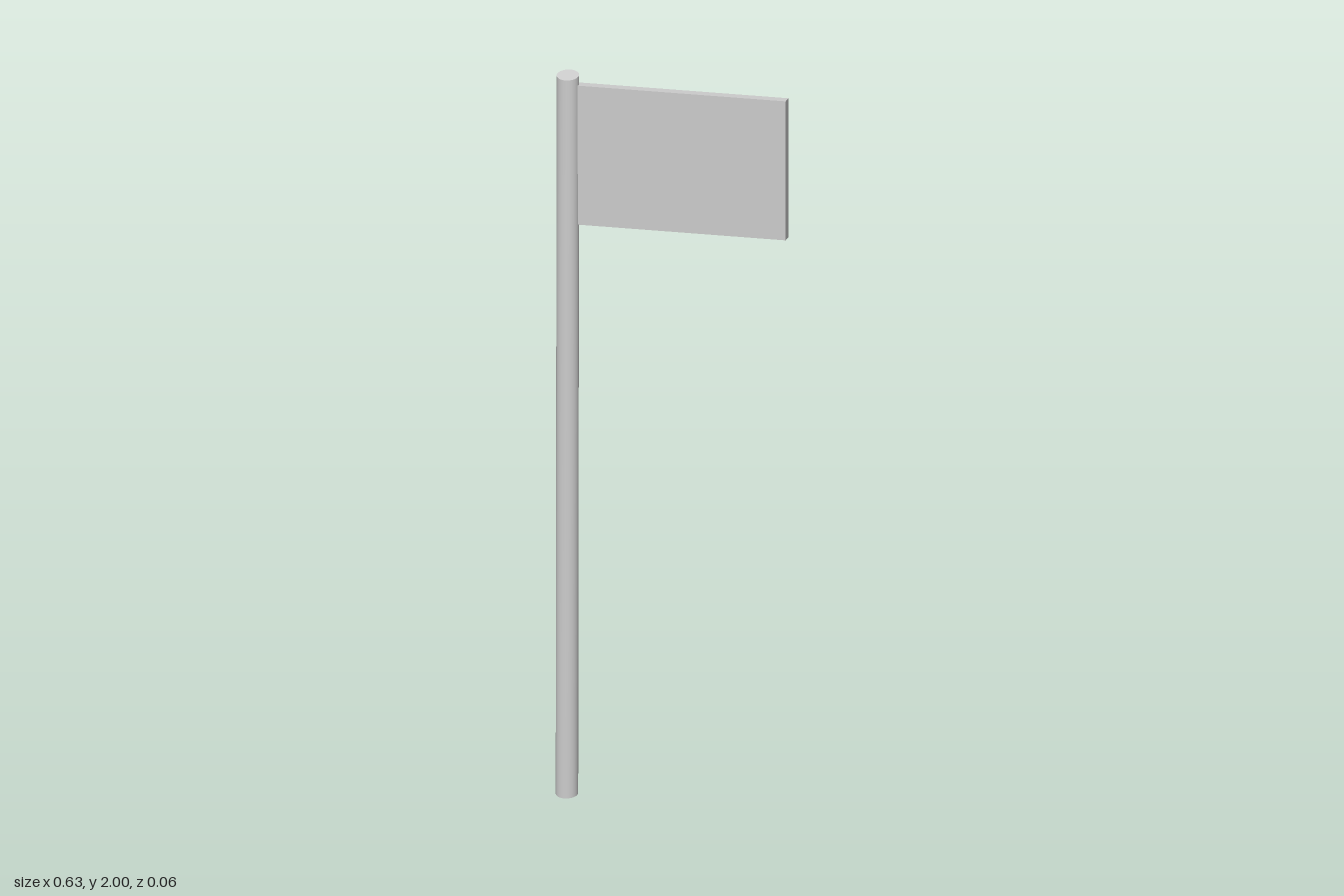
import * as THREE from 'three';

export function createModel() {
  const model = new THREE.Group();
  const material = new THREE.MeshStandardMaterial({ color: 0xcccccc });

  // Slim pole leaning slightly back, with slanted ends that rise to the rear
  const radius = 0.03, depth = 0.027, slant = 0.007, lean = 0.005;
  const poleGeometry = new THREE.CylinderGeometry(radius, radius, 2 - 2 * slant, 32);
  const p = poleGeometry.attributes.position;
  for (let i = 0; i < p.count; i++) {
    const side = p.getZ(i) / radius;
    const end = Math.sign(p.getY(i));
    p.setY(i, p.getY(i) - side * slant);
    p.setZ(i, side * depth - end * lean);
  }
  poleGeometry.computeVertexNormals();
  const pole = new THREE.Mesh(poleGeometry, material);
  pole.name = 'pole';
  pole.position.set(-0.284, 1, 0);
  model.add(pole);

  // Flat rectangular flag panel, its inner end sunk into the pole
  const left = -0.284, right = 0.312, bottom = 1.583, top = 1.968, back = -0.026, front = 0.003;
  const flag = new THREE.Mesh(new THREE.BoxGeometry(right - left, top - bottom, front - back), material);
  flag.name = 'flag';
  flag.position.set((left + right) / 2, (bottom + top) / 2, (back + front) / 2);
  model.add(flag);

  return model;
}
